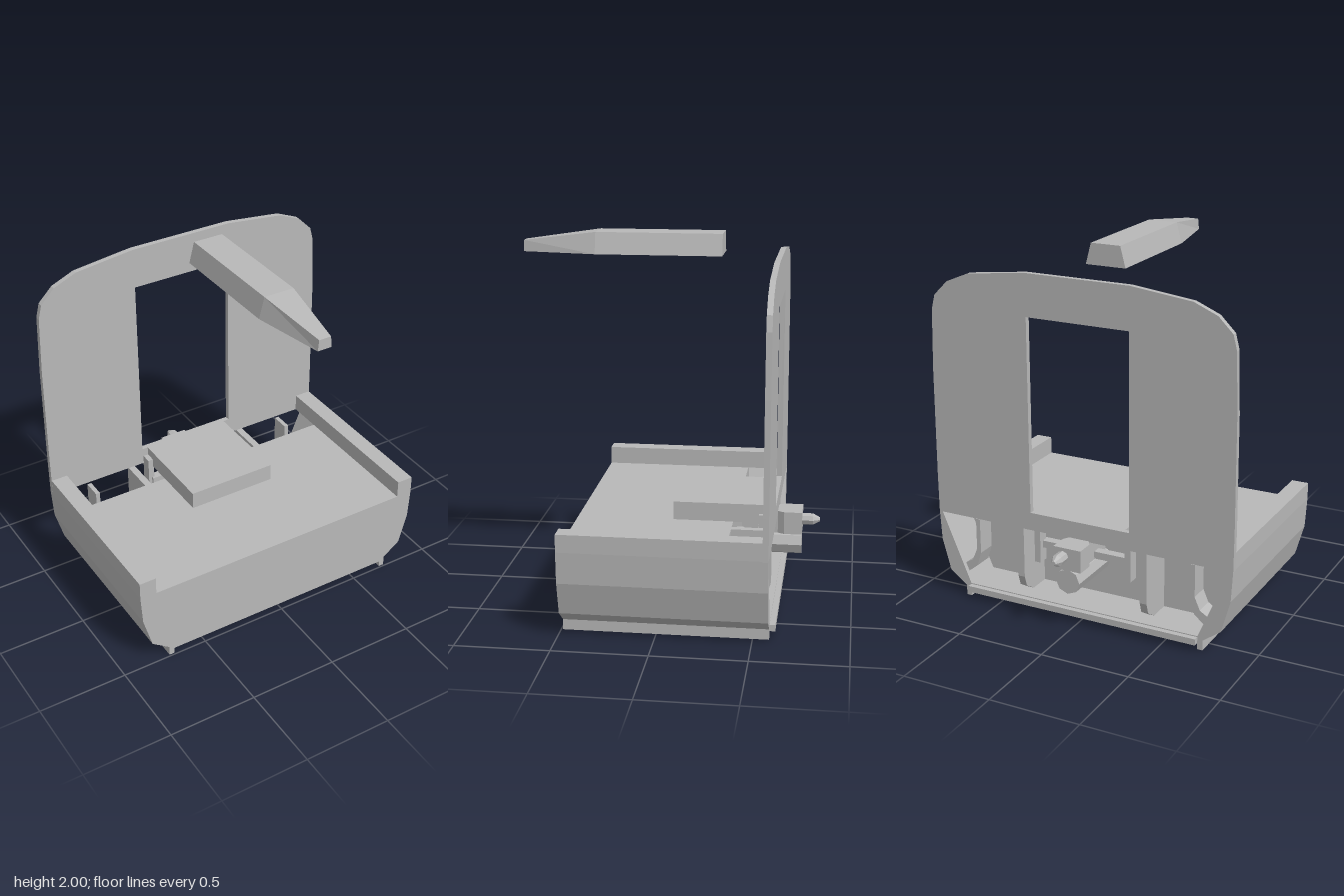
import * as THREE from 'three';

const grey = new THREE.MeshStandardMaterial({ color: 0xb8b8b8 });
grey.name = 'plain grey';

export function createModel() {
  const model = new THREE.Group();
  model.name = 'vehicleEndSection';

  const add = (name, geometry) => {
    const mesh = new THREE.Mesh(geometry, grey);
    mesh.name = name;
    model.add(mesh);
    return mesh;
  };
  // Box given by its limits on each axis
  const box = (name, x0, x1, y0, y1, z0, z1) =>
    add(name, new THREE.BoxGeometry(x1 - x0, y1 - y0, z1 - z0)
      .translate((x0 + x1) / 2, (y0 + y1) / 2, (z0 + z1) / 2));
  const toShape = pts => new THREE.Shape(pts.map(p => new THREE.Vector2(...p)));
  // Completes a half outline by mirroring it in x
  const mirrored = half => [...half, ...half.map(([x, y]) => [-x, y]).reverse()];
  const extrude = (name, shape, z0, z1) =>
    add(name, new THREE.ExtrudeGeometry(shape, { depth: z1 - z0, bevelEnabled: false }).translate(0, 0, z0));

  // Lower body: solid front length, hollow bay at the back
  const hull = [[0.69, 0.035], [0.82, 0.13], [0.87, 0.31], [0.88, 0.48], [0.88, 0.575], [0.785, 0.575]];
  extrude('lowerBody', toShape(mirrored([...hull, [0.785, 0.475]])), -0.355, 0.49);
  extrude('couplingBayShell', toShape(mirrored(
    [...hull, [0.785, 0.475], [0.86, 0.475], [0.69, 0.075]])), -0.585, -0.355);
  box('rearSill', -0.69, 0.69, 0.035, 0.07, -0.615, -0.585);

  // Bulkhead with its doorway
  const wall = toShape(mirrored([[0.88, 0.475], [0.882, 0.7], [0.88, 1.3], [0.87, 1.63], [0.85, 1.71],
    [0.77, 1.79], [0.64, 1.845], [0.3, 1.885]]));
  wall.holes.push(new THREE.Path([[-0.295, 0.575], [-0.295, 1.655], [0.295, 1.655], [0.295, 0.575]]
    .map(p => new THREE.Vector2(...p))));
  extrude('bulkhead', wall, -0.585, -0.555);
  box('doorPlatform', -0.26, 0.26, 0.474, 0.575, -0.557, -0.03);

  // Paired parts: bottom rails, bay dividers, posts and curved brackets
  for (const s of [1, -1]) {
    const pair = (name, x0, x1, ...rest) => box(name, Math.min(s * x0, s * x1), Math.max(s * x0, s * x1), ...rest);
    pair('bottomRail', 0.69, 0.72, 0, 0.06, -0.585, 0.49);
    pair('platformPost', 0.255, 0.29, 0.28, 0.525, -0.557, -0.495);

    // Divider profile in the z-y plane, cut away at its lower rear corner
    const divider = new THREE.ExtrudeGeometry(toShape([[0.355, 0.07], [0.47, 0.07], [0.55, 0.12],
      [0.57, 0.18], [0.57, 0.475], [0.355, 0.475]]), { depth: 0.04, bevelEnabled: false });
    divider.rotateY(Math.PI / 2).translate(s * 0.37 - 0.02, 0, 0);
    add('bayDivider', divider);

    extrude('curvedBracket', toShape([[0.635, 0.46], [0.635, 0.26], [0.66, 0.18], [0.735, 0.12],
      [0.755, 0.17], [0.69, 0.21], [0.66, 0.28], [0.66, 0.46]].map(([x, y]) => [s * x, y])), -0.56, -0.45);
  }

  // Coupler: upper head, lower drum, locating pin and cross bar
  const head = new THREE.Shape([[-0.06, 0.4], [0.06, 0.4], [0.06, 0.585], [0.08, 0.62],
    [0.08, 0.718], [-0.08, 0.718], [-0.08, 0.62], [-0.06, 0.585]].map(p => new THREE.Vector2(...p)));
  add('couplerHead', new THREE.ExtrudeGeometry(head, { depth: 0.125, bevelEnabled: false })
    .rotateX(-Math.PI / 2).translate(0, 0.355, 0));
  const drum = add('couplerDrum', new THREE.CylinderGeometry(0.07, 0.07, 0.36, 8).toNonIndexed());
  drum.geometry.rotateX(Math.PI / 2).translate(0, 0.29, -0.535);
  drum.geometry.computeVertexNormals();
  const pin = add('couplerPin', new THREE.LatheGeometry(
    [[0, 0], [0.033, 0], [0.033, 0.06], [0.012, 0.097], [0, 0.097]].map(p => new THREE.Vector2(...p)), 8)
    .toNonIndexed());
  pin.geometry.rotateX(-Math.PI / 2).translate(0.025, 0.43, -0.717);
  pin.geometry.computeVertexNormals();
  box('couplerCrossBar', -0.27, 0.27, 0.36, 0.4, -0.53, -0.48);

  // Floating roof fairing: trapezoid sections joined along z
  const section = (z, bottom, top, height) =>
    [[-bottom, 1.885, z], [bottom, 1.885, z], [top, height, z], [-top, height, z]];
  const sections = [section(-0.27, 0.115, 0.085, 2), section(0.41, 0.115, 0.085, 2),
    section(0.81, 0.04, 0.034, 1.945)];
  const verts = [];
  const quad = (a, b, c, d) => verts.push(...a, ...b, ...c, ...a, ...c, ...d);
  for (let i = 0; i < 2; i++) {
    const [a, b] = [sections[i], sections[i + 1]];
    for (let j = 0; j < 4; j++) {
      const k = (j + 1) % 4;
      quad(a[j], a[k], b[k], b[j]);
    }
  }
  const [first, , last] = sections;
  quad(first[3], first[2], first[1], first[0]);
  quad(...last);
  const fairing = new THREE.BufferGeometry();
  fairing.setAttribute('position', new THREE.Float32BufferAttribute(verts, 3));
  fairing.computeVertexNormals();
  add('roofFairing', fairing);

  return model;
}
